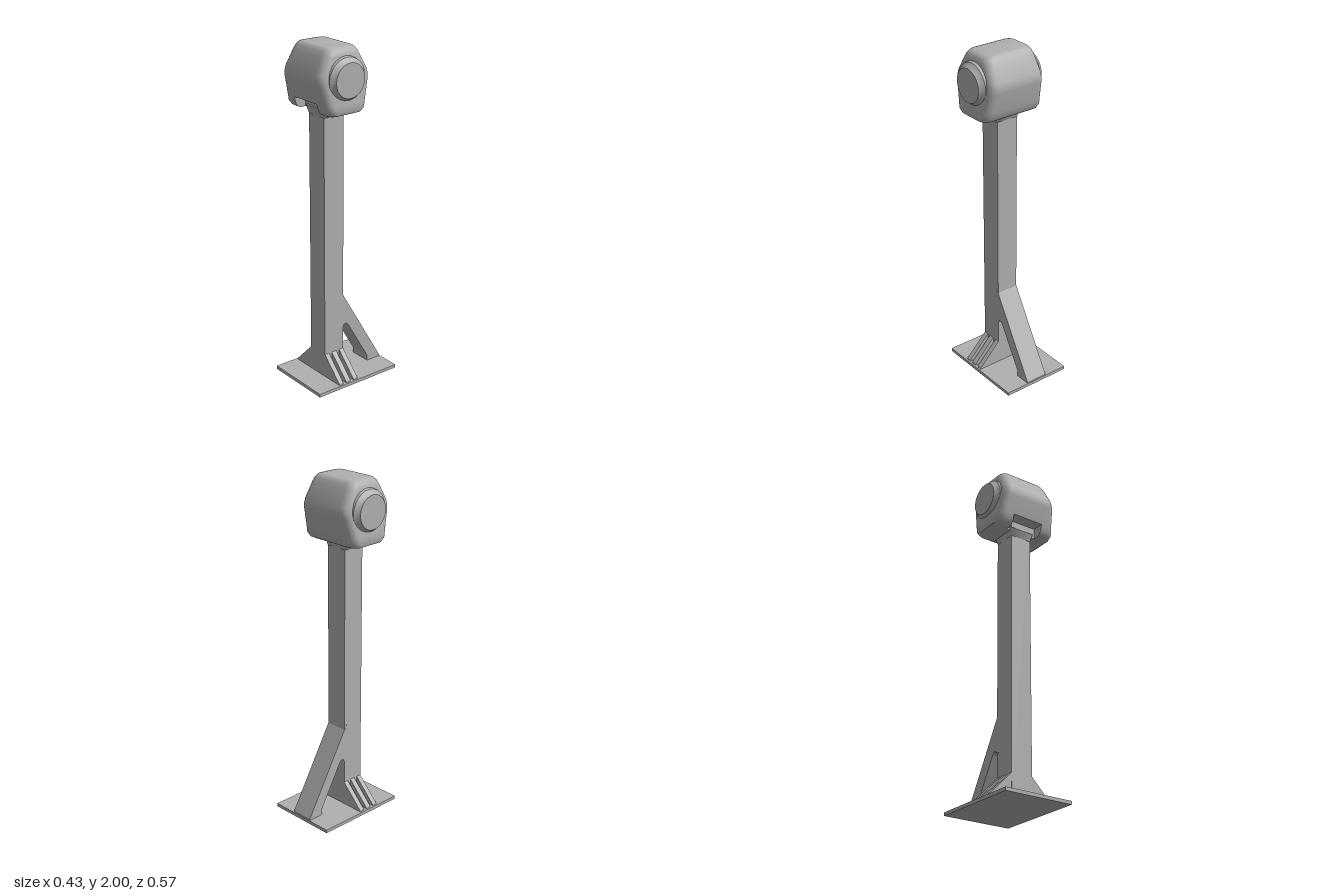
import * as THREE from 'three';
import { toCreasedNormals } from 'three/addons/utils/BufferGeometryUtils.js';

const steel = new THREE.MeshStandardMaterial({ color: 0xb0b0b0 });
steel.name = 'grey steel';

const POST_Z = 0.068; // centre line of the post and head

function add(group, name, geometry, x = 0, y = 0, z = 0) {
  const mesh = new THREE.Mesh(geometry, steel);
  mesh.name = name;
  mesh.position.set(x, y, z);
  group.add(mesh);
  return mesh;
}

function extrude(points, depth) {
  const shape = new THREE.Shape(points.map(([x, y]) => new THREE.Vector2(x, y)));
  return new THREE.ExtrudeGeometry(shape, { depth, bevelEnabled: false });
}

// Rounded rectangle outline, anticlockwise in (x, -z), with a slot in its front side
function outline(hx, hz, r, slotDepth) {
  const pts = [];
  const corners = [[1, -1, -90], [1, 1, 0], [-1, 1, 90], [-1, -1, 180]];
  for (const x of [-0.1, 0.1]) {
    const rim = [x, -hz], inner = [x, -hz + slotDepth];
    pts.push(...(x < 0 ? [rim, inner] : [inner, rim]));
  }
  for (const [sx, sz, start] of corners) {
    for (let i = 0; i <= 6; i++) {
      const a = THREE.MathUtils.degToRad(start + i * 15);
      pts.push([sx * (hx - r) + r * Math.cos(a), sz * (hz - r) + r * Math.sin(a)]);
    }
  }
  return pts;
}

// Head: hexagonal in side view, tapering upward, slotted around the post in front
function headGeometry() {
  const levels = [ // y, half width, half depth, corner radius, slot depth
    [1.635, 0.172, 0.100, 0.04, 0.035],
    [1.643, 0.192, 0.116, 0.05, 0.051],
    [1.665, 0.200, 0.130, 0.05, 0.065],
    [1.700, 0.196, 0.138, 0.05, 0.073],
    [1.700, 0.196, 0.138, 0.05, 0],
    [1.810, 0.184, 0.166, 0.05, 0],
    [1.840, 0.180, 0.170, 0.05, 0],
    [1.870, 0.177, 0.163, 0.05, 0],
    [1.955, 0.167, 0.119, 0.05, 0],
    [1.980, 0.160, 0.105, 0.05, 0],
    [1.995, 0.145, 0.092, 0.04, 0],
    [2.000, 0.125, 0.078, 0.03, 0],
  ];
  const rings = levels.map(([y, hx, hz, r, slot]) => outline(hx, hz, r, slot));
  const n = rings[0].length;
  const positions = [], index = [];
  rings.forEach((ring, k) => ring.forEach(([x, z]) => positions.push(x, levels[k][0], -z)));
  for (let k = 0; k < rings.length - 1; k++) {
    for (let i = 0; i < n; i++) {
      const a = k * n + i, b = k * n + (i + 1) % n;
      index.push(a, b, b + n, a, b + n, a + n);
    }
  }
  const cap = (k, up) => {
    const contour = rings[k].map(([x, z]) => new THREE.Vector2(x, z));
    for (const [a, b, c] of THREE.ShapeUtils.triangulateShape(contour, [])) {
      const o = k * n;
      index.push(o + a, o + (up ? b : c), o + (up ? c : b));
    }
  };
  cap(0, false);
  cap(rings.length - 1, true);
  const geometry = new THREE.BufferGeometry();
  geometry.setAttribute('position', new THREE.Float32BufferAttribute(positions, 3));
  geometry.setIndex(index);
  return toCreasedNormals(geometry, 0.7);
}

export function createModel() {
  const model = new THREE.Group();
  model.name = 'bollardPost';

  // Base and upright
  add(model, 'basePlate', new THREE.BoxGeometry(0.428, 0.02, 0.57), 0, 0.01, 0);
  add(model, 'post', new THREE.BoxGeometry(0.134, 1.7, 0.135), 0, 0.86, POST_Z);

  // Flared collar where the post meets the head
  const collar = new THREE.CylinderGeometry(0.112, 0.095, 0.05, 4);
  collar.rotateY(Math.PI / 4);
  add(model, 'collar', collar, 0, 1.627, POST_Z);

  // Side gussets: three ribs on each side of the post
  const ribs = [[0.0, 0.03], [0.052, 0.032], [0.105, 0.03]];
  for (const s of [1, -1]) {
    for (const [z, depth] of ribs) {
      const rib = extrude([[0.06, 0.015], [0.205, 0.015], [0.2, 0.03], [0.067, 0.165], [0.06, 0.175]], depth);
      const mesh = add(model, s > 0 ? 'leftGusset' : 'rightGusset', rib, 0, 0, z);
      if (s < 0) {
        mesh.rotation.y = Math.PI;
        mesh.position.z = z + depth;
      }
    }
    // Sloping web behind the ribs
    const web = extrude([[0.06, 0.015], [0.16, 0.015], [0.06, 0.13]], 0.134);
    const mesh = add(model, s > 0 ? 'leftGussetWeb' : 'rightGussetWeb', web, 0, 0, 0.001);
    if (s < 0) {
      mesh.rotation.y = Math.PI;
      mesh.position.z = 0.135;
    }
  }

  // Diagonal rear brace, profile drawn in (-z, y) and swung round
  const brace = extrude([
    [-0.02, 0.54], [0, 0.51], [0.28, 0.03], [0.28, 0.015], [0.185, 0.015],
    [0.185, 0.055], [0.04, 0.305], [0.025, 0.322], [0.008, 0.32], [0, 0.305], [-0.02, 0.305],
  ], 0.136);
  add(model, 'rearBrace', brace, -0.068).rotation.y = Math.PI / 2;

  // Head with a round boss on each side
  add(model, 'head', headGeometry(), 0, 0, POST_Z + 0.002);
  const profile = [[0, 0.15], [0.13, 0.15], [0.122, 0.185], [0.104, 0.2], [0.097, 0.213], [0, 0.213]];
  const boss = new THREE.LatheGeometry(profile.map(([r, h]) => new THREE.Vector2(r, h)), 24);
  const bossGeometry = toCreasedNormals(boss, 0.5);
  for (const s of [1, -1]) {
    const mesh = add(model, s > 0 ? 'leftBoss' : 'rightBoss', bossGeometry, 0, 1.83, POST_Z);
    mesh.rotation.z = -s * Math.PI / 2;
  }
  return model;
}
